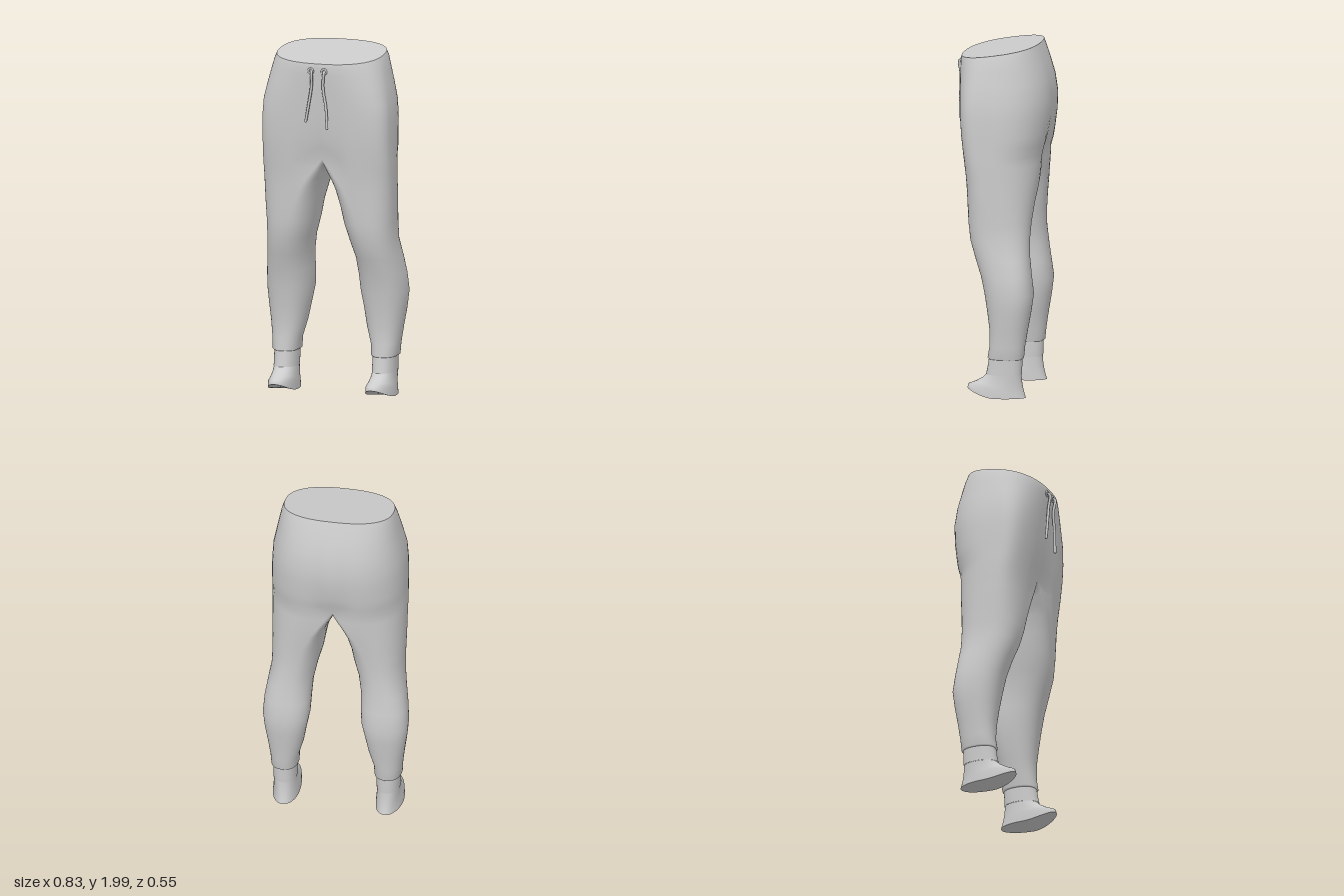
import * as THREE from 'three';
import { mergeGeometries, mergeVertices } from 'three/addons/utils/BufferGeometryUtils.js';

const N = 56; // columns per ring; 0 = front, N/4 = outer side, N/2 = back
const material = new THREE.MeshStandardMaterial({ color: 0xcccccc, side: THREE.DoubleSide });
const power = (v, n) => Math.sign(v) * Math.pow(Math.abs(v), 2 / n);

// Ring of the +x half. inner/outer: x limits, seam: x of the front and back columns,
// mid: z of the widest point, nf/nb: squareness of front and back,
// dip: lowers the inner side, groove: centre crease, yAt: optional height rule.
function ring({ y, inner, seam, outer, front, back, mid = (front + back) / 2, nf = 2.3, nb = 2.3, dip = 0, groove = 0, yAt }) {
  const points = [];
  for (let i = 0; i < N; i++) {
    const t = (i / N) * Math.PI * 2, s = Math.sin(t), c = Math.cos(t);
    const n = s < 0 ? 2.3 : c > 0 ? nf : nb;
    const x = seam + (s > 0 ? outer - seam : seam - inner) * power(s, n);
    let z = mid + (c > 0 ? front - mid : mid - back) * power(c, n);
    z *= 1 - groove * Math.exp(-((x / 0.09) ** 2));
    const h = yAt ? yAt(z) : y;
    points.push(new THREE.Vector3(x, s < 0 ? h - dip * Math.pow(-s, 0.8) : h, z));
  }
  return points;
}

// Height rule for a ring tilted between its front and back
const slope = (front, back, yf, yb) => (z) => THREE.MathUtils.mapLinear(z, front, back, yf, yb);

function geometryFrom(points, index) {
  const g = new THREE.BufferGeometry().setFromPoints(points);
  g.setIndex(index);
  return g;
}

// Skin rings from top to bottom; rows above openRows have no inner side
function loft(rings, openRows = 0) {
  const index = [];
  for (let r = 0; r < rings.length - 1; r++) {
    const count = r < openRows ? N / 2 : N;
    for (let i = 0; i < count; i++) {
      const j = (i + 1) % N;
      const a = r * N + i, b = a + N, c = (r + 1) * N + j, d = r * N + j;
      index.push(a, b, c, a, c, d);
    }
  }
  return geometryFrom(rings.flat(), index);
}

function fan(points, centre, count, up) {
  const index = [];
  for (let i = 0; i < count; i++) {
    const a = i + 1, b = ((i + 1) % N) + 1;
    index.push(0, up ? a : b, up ? b : a);
  }
  return geometryFrom([centre, ...points], index);
}

// Join a half with its mirror image and smooth across the centre line
function mirrored(name, half) {
  const other = half.clone().scale(-1, 1, 1);
  const idx = other.index.array;
  for (let i = 0; i < idx.length; i += 3) [idx[i], idx[i + 1]] = [idx[i + 1], idx[i]];
  const g = mergeVertices(mergeGeometries([half, other]), 1e-4);
  g.computeVertexNormals();
  const mesh = new THREE.Mesh(g, material);
  mesh.name = name;
  return mesh;
}

export function createModel() {
  const model = new THREE.Group();
  model.name = 'joggers';

  // Hips: the waist slopes down towards the front
  const hips = [
    // outer, front, back, front y, back y, mid, nf, groove
    [0.313, 0.245, -0.2, 1.93, 2.0, 0.02, 2.4, 0],
    [0.325, 0.249, -0.214, 1.91, 1.96, 0.02, 2.4, 0],
    [0.338, 0.247, -0.238, 1.87, 1.89, 0.03, 2.5, 0],
    [0.355, 0.243, -0.265, 1.8, 1.8, 0.04, 2.8, 0.01],
    [0.376, 0.236, -0.279, 1.7, 1.7, 0.05, 3.3, 0.02],
    [0.382, 0.229, -0.276, 1.6, 1.6, 0.05, 3.7, 0.03],
    [0.383, 0.221, -0.263, 1.5, 1.5, 0.05, 3.8, 0.06],
    [0.383, 0.215, -0.254, 1.44, 1.44, 0.05, 3.7, 0.1],
  ].map(([outer, front, back, yf, yb, mid, nf, groove]) =>
    ring({ inner: 0, seam: 0, outer, front, back, mid, nf, nb: 2.5, groove, yAt: slope(0.245, -0.2, yf, yb) }));

  // Crotch row followed by the legs
  const legs = [
    // y, inner, seam, outer, front, back, mid, nf, dip, groove
    [1.385, 0, 0, 0.384, 0.209, -0.243, 0.05, 3.6, 0.065, 0.16],
    [1.33, 0.014, 0.04, 0.384, 0.202, -0.233, 0.048, 3.3, 0.05, 0.13],
    [1.27, 0.032, 0.085, 0.383, 0.194, -0.222, 0.045, 3, 0.025, 0.08],
    [1.2, 0.051, 0.13, 0.382, 0.186, -0.21, 0.04, 2.8, 0, 0],
    [1.1, 0.075, 0.175, 0.381, 0.178, -0.195, 0.03, 2.6, 0, 0],
    [1.0, 0.092, 0.21, 0.378, 0.17, -0.184, 0.015, 2.5, 0, 0],
    [0.9, 0.12, 0.24, 0.379, 0.155, -0.18, 0, 2.4, 0, 0],
    [0.8, 0.14, 0.265, 0.394, 0.122, -0.186, -0.05, 2.3, 0, 0],
    [0.7, 0.145, 0.275, 0.409, 0.088, -0.197, -0.08, 2.3, 0, 0],
    [0.6, 0.15, 0.28, 0.416, 0.066, -0.21, -0.095, 2.3, 0, 0],
    [0.5, 0.17, 0.285, 0.406, 0.05, -0.197, -0.09, 2.3, 0, 0],
    [0.4, 0.188, 0.29, 0.391, 0.037, -0.18, -0.075, 2.3, 0, 0],
    [0.3, 0.216, 0.297, 0.378, 0.036, -0.165, -0.06, 2.3, 0, 0],
    [0.236, 0.219, 0.297, 0.374, 0.047, -0.159, -0.055, 2.3, 0, 0],
    [0.229, 0.23, 0.297, 0.364, 0.04, -0.15, -0.053, 2.3, 0, 0],
  ].map(([y, inner, seam, outer, front, back, mid, nf, dip, groove]) =>
    ring({ y, inner, seam, outer, front, back, mid, nf, dip, groove }));

  model.add(mirrored('trousers', loft([...hips, ...legs], hips.length)));
  model.add(mirrored('waistCover', fan(hips[0], new THREE.Vector3(0, 1.966, 0.02), N / 2, true)));

  // Ankle cuffs
  const cuff = (y, inner, outer, front, back) => ring({ y, inner, seam: 0.297, outer, front, back });
  model.add(mirrored('cuffs', loft([
    cuff(0.23, 0.23, 0.364, 0.04, -0.15),
    cuff(0.185, 0.23, 0.363, 0.047, -0.149),
    cuff(0.14, 0.23, 0.363, 0.056, -0.147),
  ])));

  // Flared foot pieces with a raised toe edge
  const sole = (z) => 0.008 + 0.05 * Math.pow(Math.max(0, z / 0.165), 1.6);
  const foot = [
    // inner, outer, front, back, front y, back y, squareness
    [0.232, 0.361, 0.054, -0.145, 0.14, 0.14, 2.3],
    [0.23, 0.362, 0.075, -0.148, 0.12, 0.1, 2.2],
    [0.226, 0.366, 0.115, -0.155, 0.097, 0.06, 2],
    [0.222, 0.372, 0.16, -0.164, 0.079, 0.026, 1.9],
  ].map(([inner, outer, front, back, yf, yb, n]) =>
    ring({ inner, seam: 0.297, outer, front, back, nf: n, nb: n, yAt: slope(front, back, yf, yb) }));
  foot.push(ring({ inner: 0.221, seam: 0.297, outer: 0.374, front: 0.165, back: -0.17, nf: 1.9, nb: 1.9, yAt: sole }));
  model.add(mirrored('feet', loft(foot)));
  model.add(mirrored('soles', fan(foot[4], new THREE.Vector3(0.297, 0.008, -0.02), N, false)));

  // Drawstrings hanging from eyelets
  const strings = {
    rightDrawstring: [[-0.04, 1.89, 0.24], [-0.032, 1.885, 0.262], [-0.034, 1.8, 0.256], [-0.05, 1.7, 0.256], [-0.068, 1.6, 0.256]],
    leftDrawstring: [[0.04, 1.89, 0.24], [0.044, 1.885, 0.262], [0.036, 1.8, 0.256], [0.054, 1.68, 0.256], [0.06, 1.565, 0.256]],
  };
  for (const [name, path] of Object.entries(strings)) {
    const curve = new THREE.CatmullRomCurve3(path.map((p) => new THREE.Vector3(...p)));
    const group = new THREE.Group();
    group.name = name;
    const cord = new THREE.Mesh(new THREE.TubeGeometry(curve, 30, 0.008, 8), material);
    cord.name = 'cord';
    const tip = new THREE.Mesh(new THREE.SphereGeometry(0.0085, 8, 6), material);
    tip.name = 'cordTip';
    tip.position.set(...path[4]);
    const eyelet = new THREE.Mesh(new THREE.TorusGeometry(0.014, 0.006, 8, 16), material);
    eyelet.name = 'eyelet';
    eyelet.position.set(path[0][0], 1.888, 0.25);
    group.add(cord, tip, eyelet);
    model.add(group);
  }
  return model;
}
